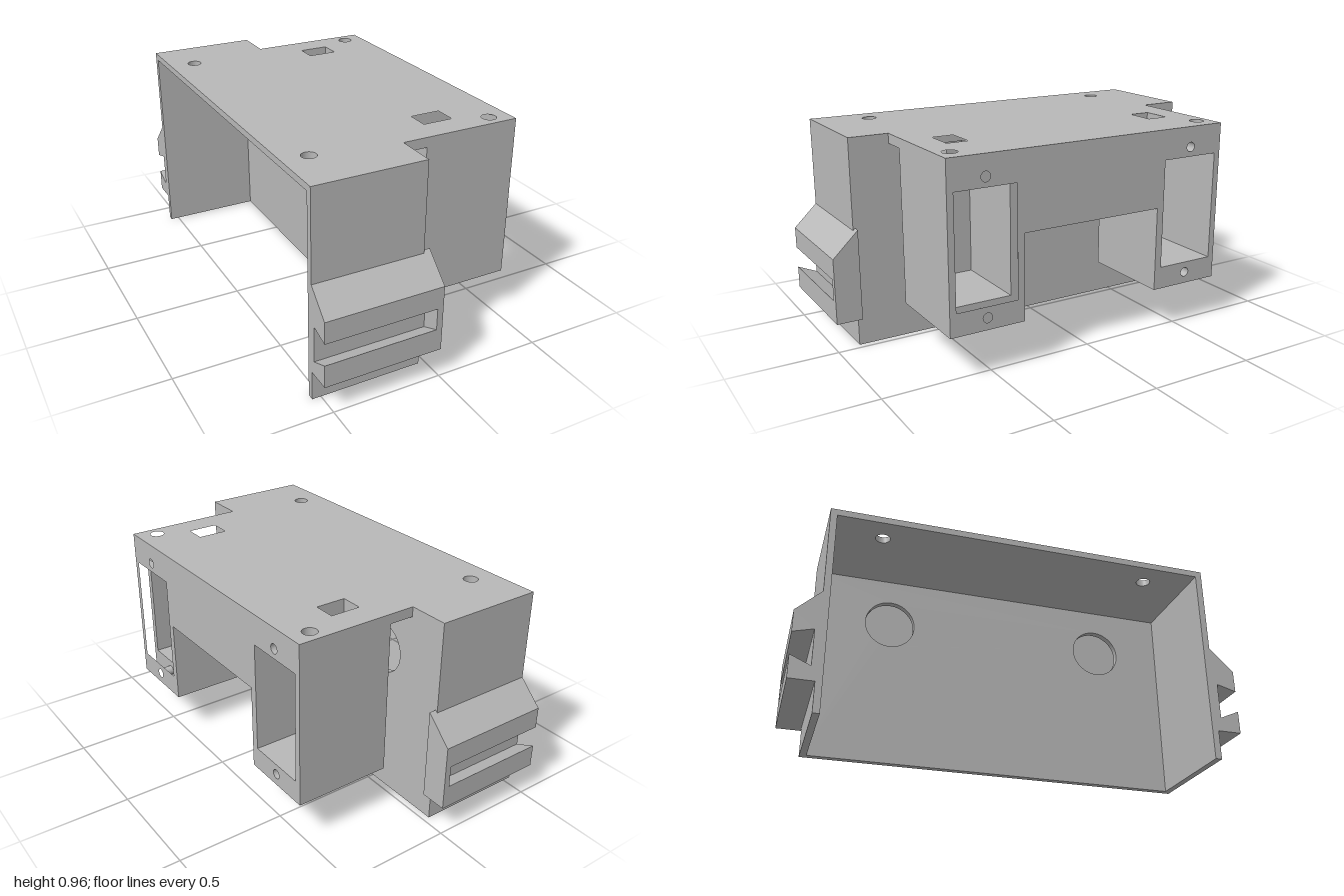
import * as THREE from 'three';

export function createModel() {
  const model = new THREE.Group();
  const grey = new THREE.MeshStandardMaterial({ color: 0xb8b8b8 });
  grey.name = 'plainGrey';

  const add = (name, geometry) => {
    const mesh = new THREE.Mesh(geometry, grey);
    mesh.name = name;
    model.add(mesh);
  };
  const box = (name, x0, x1, y0, y1, z0, z1) => {
    const g = new THREE.BoxGeometry(x1 - x0, y1 - y0, Math.abs(z1 - z0));
    add(name, g.translate((x0 + x1) / 2, (y0 + y1) / 2, (z0 + z1) / 2));
  };
  const poly = (points, Type = THREE.Shape) => new Type(points.map(([a, b]) => new THREE.Vector2(a, b)));
  const rect = (a0, a1, b0, b1, Type) => poly([[a0, b0], [a1, b0], [a1, b1], [a0, b1]], Type);
  const rectHole = (a0, a1, b0, b1) => rect(a0, a1, b0, b1, THREE.Path);
  const roundHole = (a, b, r) => new THREE.Path().absarc(a, b, r, 0, Math.PI * 2, true);
  const extrude = (shape, holes, depth) => {
    shape.holes = holes;
    return new THREE.ExtrudeGeometry(shape, { depth, bevelEnabled: false, curveSegments: 32 });
  };
  // Plate drawn in (x, -z) and raised from y0 to y1
  const slabY = (name, shape, holes, y0, y1) =>
    add(name, extrude(shape, holes, y1 - y0).rotateX(-Math.PI / 2).translate(0, y0, 0));
  // Plate drawn in (-z, y) and pulled from x0 to x1
  const slabX = (name, shape, holes, x0, x1) =>
    add(name, extrude(shape, holes, x1 - x0).rotateY(Math.PI / 2).translate(x0, 0, 0));

  // Thin shell, open below and on its outer side
  slabY('shellTop', rect(-0.54, -0.03, -0.89, 0.89),
    [roundHole(-0.42, 0.64, 0.033), roundHole(-0.42, -0.64, 0.033)], 0.93, 0.96);
  slabX('shellWall', rect(-0.89, 0.89, 0, 0.93),
    [roundHole(-0.527, 0.7, 0.117), roundHole(0.527, 0.7, 0.117)], -0.06, -0.03);

  // Bridge between shell and housings
  box('bridgeTop', -0.03, 0.085, 0.915, 0.96, -0.705, 0.705);
  box('bridgeWeb', -0.03, 0.085, 0.64, 0.915, -0.35, 0.35);
  box('centreBlock', 0.085, 0.535, 0.6, 0.96, -0.35, 0.35);

  for (const s of [1, -1]) {
    box('shellEnd', -0.54, -0.06, 0, 0.93, s * 0.86, s * 0.89);

    // Hollow housing with a window and screw holes in its face
    slabX('housingFace', rect(-s * 0.35, -s * 0.705, 0.205, 0.96), [
      rectHole(-s * 0.385, -s * 0.675, 0.31, 0.82),
      roundHole(-s * 0.53, 0.865, 0.022),
      roundHole(-s * 0.53, 0.26, 0.022),
    ], 0.475, 0.535);
    slabY('housingTop', rect(0.085, 0.475, -s * 0.35, -s * 0.705), [
      rectHole(0.15, 0.29, -s * 0.48, -s * 0.58),
      roundHole(0.44, -s * 0.64, 0.033),
    ], 0.82, 0.96);
    box('housingFloor', 0.085, 0.475, 0.205, 0.31, s * 0.35, s * 0.705);
    box('housingInnerSide', 0.085, 0.475, 0.31, 0.82, s * 0.35, s * 0.385);
    box('housingOuterSide', 0.085, 0.475, 0.31, 0.82, s * 0.675, s * 0.705);
    box('housingBack', 0.085, 0.11, 0.31, 0.82, s * 0.385, s * 0.675);

    // Slotted rail on the end plate, closed at its inner end
    const outline = [[0.88, 0.135], [1, 0.135], [1, 0.44], [0.88, 0.555]];
    const slotted = [[0.88, 0.135], [1, 0.135], [1, 0.24], [0.91, 0.2],
      [0.91, 0.365], [1, 0.34], [1, 0.44], [0.88, 0.555]];
    const side = (points) => poly(points.map(([z, y]) => [-s * z, y]));
    slabX('rail', side(slotted), [], -0.54, -0.025);
    slabX('railEndCap', side(outline), [], -0.025, 0.003);
  }
  return model;
}
